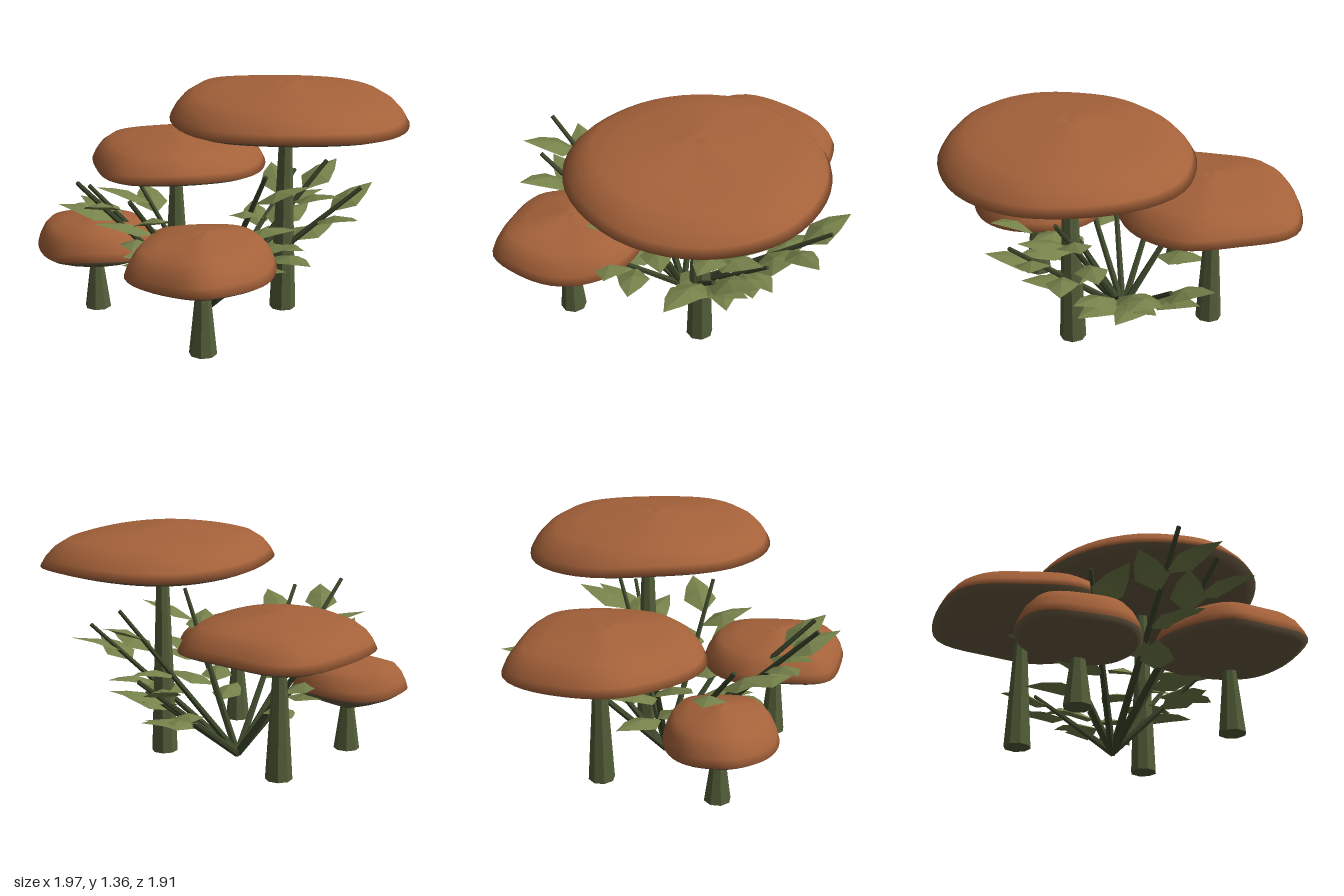
import * as THREE from 'three';

const mat = (name, color, extra = {}) => {
  const m = new THREE.MeshStandardMaterial({ color, ...extra });
  m.name = name;
  return m;
};

// Cap cross-section from the underside tip, over the rim, to the crown: [radius factor, height factor]
const CAP_PROFILE = [
  [0, 0], [0.3, 0.1], [0.65, 0.23], [0.9, 0.34], [1, 0.41],
  [0.96, 0.55], [0.89, 0.7], [0.78, 0.83], [0.55, 0.9], [0.1, 1], [0, 0.97],
];
const RIM = 4;
const SEGMENTS = 48;

// Mushrooms: stem foot, cap centre, cap height range, rim radii at ten even angles from +x towards +z
const MUSHROOMS = [
  { name: 'tallMushroom', foot: [0.29, -0.31], centre: [0.29, -0.28], low: 1.02, high: 1.355, tilt: 0.03,
    radii: [0.69, 0.69, 0.68, 0.63, 0.61, 0.67, 0.71, 0.7, 0.71, 0.69] },
  { name: 'leftMushroom', foot: [-0.5, -0.12], centre: [-0.47, -0.11], low: 0.63, high: 0.95, tilt: 0.015,
    radii: [0.51, 0.54, 0.56, 0.5, 0.53, 0.52, 0.56, 0.5, 0.54, 0.52] },
  { name: 'rightMushroom', foot: [0.52, 0.43], centre: [0.51, 0.43], low: 0.37, high: 0.7, tilt: 0,
    radii: [0.39, 0.44, 0.39, 0.41, 0.36, 0.4, 0.41, 0.41, 0.4, 0.38] },
  { name: 'smallMushroom', foot: [-0.355, 0.54], centre: [-0.35, 0.54], low: 0.27, high: 0.6, tilt: 0,
    radii: [0.33, 0.32, 0.32, 0.32, 0.35, 0.34, 0.31, 0.3, 0.32, 0.32] },
];

// Stalk tips; every stalk starts at the root
const STALK_TIPS = [
  [0.07, 0.94, 0.89], [0.34, 0.88, 0.75], [-0.31, 0.78, 0.6],
  [0.51, 0.92, 0.01], [0.36, 0.88, -0.56], [0.6, 0.77, -0.6],
  [-0.23, 0.64, -0.84], [-0.45, 0.72, 0.2], [0.05, 0.48, -0.6], [0.6, 0.6, 0.17],
];
// Leaves alternate sides down each stalk at these fractions
const LEAF_STEPS = [0.8, 0.72, 0.56, 0.43];

// Closed cap: the rim curve scaled along the profile; group 0 is the underside, group 1 the top
function capGeometry({ centre: [cx, cz], radii, low, high, tilt }) {
  const points = radii.map((r, i) => {
    const a = (i / radii.length) * Math.PI * 2;
    return new THREE.Vector3(Math.cos(a) * r, 0, Math.sin(a) * r);
  });
  const rim = new THREE.CatmullRomCurve3(points, true).getSpacedPoints(SEGMENTS).slice(0, SEGMENTS);
  const pos = [], idx = [];
  for (const [r, h] of CAP_PROFILE) {
    for (const p of rim) {
      const wave = 0.012 * Math.sin(3 * Math.atan2(p.z, p.x)) * r;
      pos.push(cx + p.x * r, low + (high - low) * h + wave + tilt * p.z * r, cz + p.z * r);
    }
  }
  for (let j = 0; j < CAP_PROFILE.length - 1; j++) {
    for (let i = 0; i < SEGMENTS; i++) {
      const a = j * SEGMENTS + i, b = j * SEGMENTS + (i + 1) % SEGMENTS;
      idx.push(a, a + SEGMENTS, b, b, a + SEGMENTS, b + SEGMENTS);
    }
  }
  const g = new THREE.BufferGeometry();
  g.setAttribute('position', new THREE.Float32BufferAttribute(pos, 3));
  g.setIndex(idx);
  g.computeVertexNormals();
  const split = RIM * SEGMENTS * 6;
  g.addGroup(0, split, 0);
  g.addGroup(split, idx.length - split, 1);
  return g;
}

// Folded leaf with a raised midrib, widest a little before the middle
function leafGeometry(base, tip) {
  const dir = tip.clone().sub(base), len = dir.length();
  const side = dir.clone().cross(new THREE.Vector3(0, 1, 0)).normalize();
  const up = side.clone().cross(dir).normalize();
  const at = (t, s, u) => base.clone().addScaledVector(dir, t).addScaledVector(side, s * len).addScaledVector(up, u * len);
  const p = [at(0, 0, 0), at(0.35, 0.29, 0), at(0.35, -0.29, 0), at(0.45, 0, 0.1),
    at(0.68, 0.19, 0.02), at(0.68, -0.19, 0.02), at(1, 0, 0)];
  const faces = [0, 1, 3, 0, 3, 2, 1, 4, 3, 2, 3, 5, 4, 6, 3, 3, 6, 5];
  const g = new THREE.BufferGeometry().setFromPoints(faces.map((i) => p[i]));
  g.computeVertexNormals();
  return g;
}

// Tapered rod between two points
function rod(start, end, r0, r1, sides, material) {
  const d = end.clone().sub(start);
  const m = new THREE.Mesh(new THREE.CylinderGeometry(r1, r0, d.length(), sides), material);
  m.position.copy(start).addScaledVector(d, 0.5);
  m.quaternion.setFromUnitVectors(new THREE.Vector3(0, 1, 0), d.normalize());
  return m;
}

export function createModel() {
  const capTop = mat('cap brown', 0xa5623a);
  const capUnder = mat('underside brown', 0x6a5a41);
  const stemMat = mat('stem green', 0x535e39, { flatShading: true });
  const stalkMat = mat('stalk green', 0x3c472b, { flatShading: true });
  const leafMat = mat('leaf green', 0x76824b, { flatShading: true, side: THREE.DoubleSide });

  const model = new THREE.Group();
  model.name = 'mushroomCluster';

  // Mushrooms
  for (const m of MUSHROOMS) {
    const group = new THREE.Group();
    group.name = m.name;
    const [x, z] = m.foot;
    const stem = rod(new THREE.Vector3(x, 0.03, z), new THREE.Vector3(x, m.low + 0.05, z), 0.075, 0.035, 8, stemMat);
    stem.name = 'stem';
    const cap = new THREE.Mesh(capGeometry(m), [capUnder, capTop]);
    cap.name = 'cap';
    group.add(stem, cap);
    model.add(group);
  }

  // Leafy plant fanning out from the ground
  const plant = new THREE.Group();
  plant.name = 'leafyPlant';
  const root = new THREE.Vector3(0, 0.015, 0);
  for (const point of STALK_TIPS) {
    const tip = new THREE.Vector3(...point);
    const stalk = rod(root, tip, 0.022, 0.012, 6, stalkMat);
    stalk.name = 'stalk';
    plant.add(stalk);

    // Leaves reach outwards, sideways and slightly up from the stalk
    const out = new THREE.Vector3(tip.x, 0, tip.z).normalize();
    const side = new THREE.Vector3(-out.z, 0, out.x);
    LEAF_STEPS.forEach((t, i) => {
      const base = root.clone().lerp(tip, t);
      const end = base.clone().addScaledVector(out, 0.23).addScaledVector(side, i % 2 ? 0.22 : -0.22);
      end.y += 0.12 - 0.03 * i;
      const leaf = new THREE.Mesh(leafGeometry(base, end), leafMat);
      leaf.name = 'leaf';
      plant.add(leaf);
    });
  }
  model.add(plant);
  return model;
}
